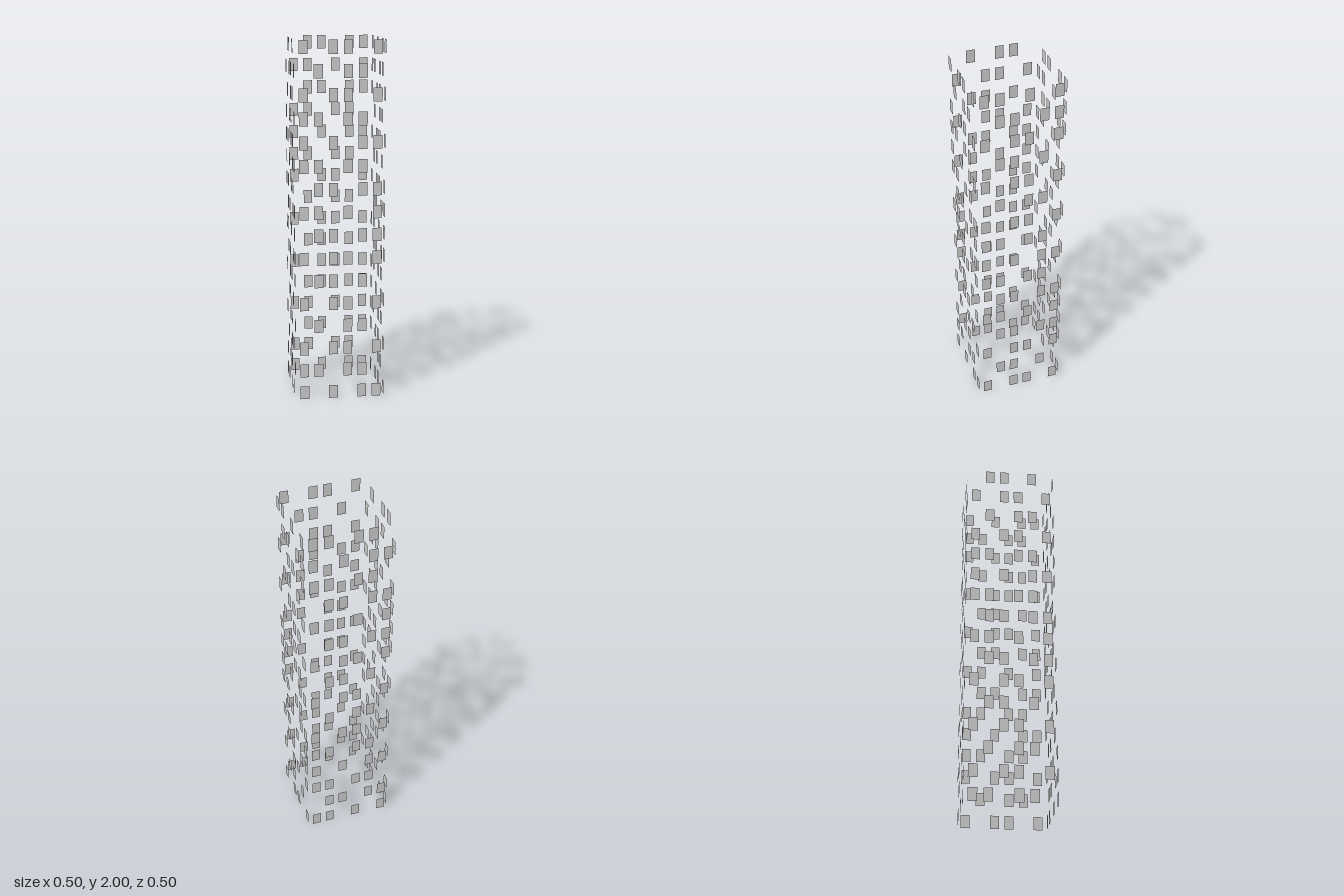
import * as THREE from 'three';

const COLS = 6, ROWS = 16;
const WIDTH = 0.05, HEIGHT = 0.075;
const COL_PITCH = 0.081, ROW_PITCH = (2 - HEIGHT) / (ROWS - 1);
const HALF_DEPTH = 0.249;

// Scattered but repeatable choice of which windows exist
const isLit = (side, col, row) => (col * 7 + row * 17 + side * 13) % 11 < 7;

export function createModel() {
  const tower = new THREE.Group();
  tower.name = 'towerWindows';

  const pane = new THREE.PlaneGeometry(WIDTH, HEIGHT);
  const material = new THREE.MeshStandardMaterial({ color: 0xcccccc, side: THREE.DoubleSide });
  const sideNames = ['frontWindows', 'leftWindows', 'backWindows', 'rightWindows'];

  // Four walls of floating panes, each a quarter turn from the last
  sideNames.forEach((name, side) => {
    const wall = new THREE.Group();
    wall.name = name;
    wall.rotation.y = side * Math.PI / 2;
    for (let row = 0; row < ROWS; row++) {
      for (let col = 0; col < COLS; col++) {
        if (!isLit(side, col, row)) continue;
        const mesh = new THREE.Mesh(pane, material);
        mesh.name = 'window';
        mesh.position.set((col - (COLS - 1) / 2) * COL_PITCH, HEIGHT / 2 + row * ROW_PITCH, HALF_DEPTH);
        wall.add(mesh);
      }
    }
    tower.add(wall);
  });

  return tower;
}
